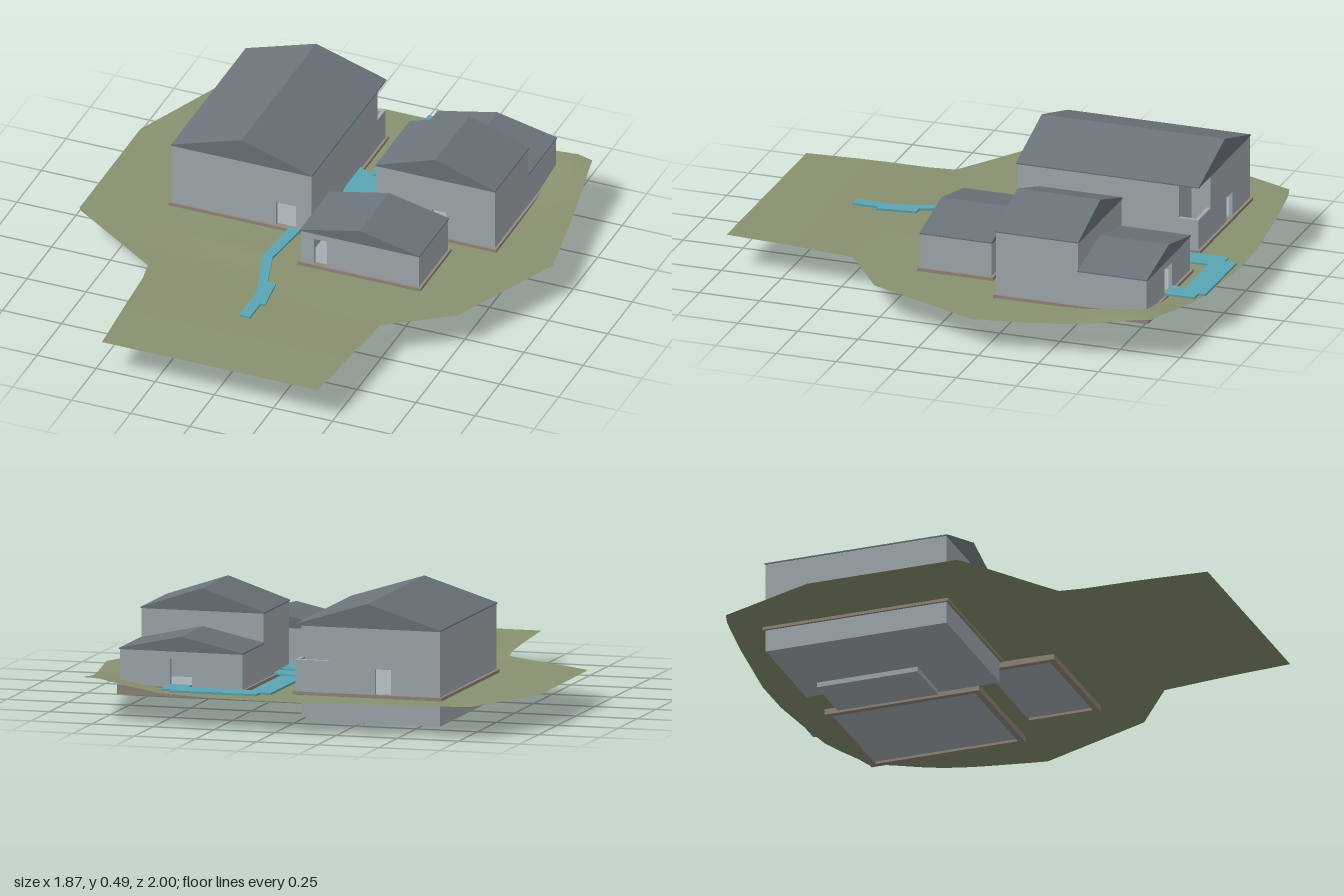
import * as THREE from 'three';

const mat = (name, color, side = THREE.FrontSide) => {
  const m = new THREE.MeshStandardMaterial({ color, side });
  m.name = name;
  return m;
};

export function createModel() {
  const model = new THREE.Group();
  model.name = 'farmstead';
  const wall = mat('wall grey', 0xa3adb2);
  const roof = mat('roof slate', 0x6b747b);
  const stone = mat('plinth brown', 0x94887f);
  const grass = mat('grass green', 0x88916f, THREE.DoubleSide);
  const water = mat('path blue', 0x5ba5b4);

  const add = (parent, name, geo, material) => {
    const m = new THREE.Mesh(geo, material);
    m.name = name;
    parent.add(m);
    return m;
  };
  // Box given by its two extreme corners
  const box = (parent, name, x0, x1, y0, y1, z0, z1, material) => {
    const m = add(parent, name, new THREE.BoxGeometry(x1 - x0, y1 - y0, z1 - z0), material);
    m.position.set((x0 + x1) / 2, (y0 + y1) / 2, (z0 + z1) / 2);
    return m;
  };
  const polygon = pts => new THREE.Shape(pts.map(p => new THREE.Vector2(p[0], p[1])));
  const rect = (x0, x1, y0, y1) => polygon([[x0, y0], [x1, y0], [x1, y1], [x0, y1]]);
  const extrude = (shape, depth) => new THREE.ExtrudeGeometry(shape, { depth, bevelEnabled: false });
  // Shape drawn in (x, -z), raised from y0 to y1
  const slab = (parent, name, shape, y0, y1, material) => {
    const g = extrude(shape, y1 - y0).rotateX(-Math.PI / 2);
    g.translate(0, y0, 0);
    return add(parent, name, g, material);
  };

  const T = 0.015, FLOOR = 0.135;

  // Wall across x with an optional doorway [x0, x1, top]
  const endWall = (parent, name, x0, x1, top, z0, door) => {
    const shape = door
      ? polygon([[x0, 0.11], [x0, top], [x1, top], [x1, 0.11], [door[1], 0.11],
        [door[1], door[2]], [door[0], door[2]], [door[0], 0.11]])
      : rect(x0, x1, 0.11, top);
    add(parent, name, extrude(shape, T).translate(0, 0, z0), wall);
  };
  // Solid gable roof with its ridge along z
  const gable = (parent, x0, x1, z0, z1, eave, ridge) => {
    const e = 0.003;
    const shape = polygon([[x0 - e, eave - 0.005], [x1 + e, eave - 0.005], [x1 + e, eave],
      [(x0 + x1) / 2, ridge], [x0 - e, eave]]);
    add(parent, 'gableRoof', extrude(shape, z1 - z0 + 2 * e).translate(0, 0, z0 - e), roof);
  };
  // Stone rim around a slightly raised floor
  const plinth = (parent, x0, x1, z0, z1, y0) => {
    const o = 0.01, i = 0.015;
    const ring = rect(x0 - o, x1 + o, -z1 - o, -z0 + o);
    ring.holes.push(rect(x0 + i, x1 - i, -z1 + i, -z0 - i));
    slab(parent, 'plinth', ring, y0, FLOOR, stone);
    box(parent, 'floor', x0 + i, x1 - i, 0.108, FLOOR - 0.002, z0 + i, z1 - i, wall);
  };
  const house = (name, x0, x1, z0, z1, eave, ridge, frontDoor, backDoor) => {
    const g = new THREE.Group();
    g.name = name;
    model.add(g);
    endWall(g, 'frontWall', x0, x1, eave, z1 - T, frontDoor);
    endWall(g, 'backWall', x0, x1, eave, z0, backDoor);
    for (const x of [x0, x1 - T]) box(g, 'sideWall', x, x + T, 0.11, eave, z0 + T, z1 - T, wall);
    gable(g, x0, x1, z0, z1, eave, ridge);
    return g;
  };

  // Small front house
  const small = house('smallHouse', 0.02, 0.52, -0.13, 0.165, 0.28, 0.335, [0.075, 0.13, 0.25]);
  plinth(small, 0.02, 0.52, -0.13, 0.165, 0.098);

  // Two-part house: tall front and low rear
  const tall = house('tallHouse', 0.185, 0.685, -0.55, -0.21, 0.4, 0.485, [0.42, 0.48, 0.25]);
  house('rearAnnex', 0.185, 0.685, -0.835, -0.55, 0.28, 0.335, null, [0.39, 0.48, 0.245]);
  plinth(tall, 0.185, 0.685, -0.835, -0.21, 0.098);

  // Large house with a cellar and a covered corner porch at the back
  const large = new THREE.Group();
  large.name = 'largeHouse';
  model.add(large);
  const [X0, X1, Z0, Z1, PX, PZ, EAVE] = [-0.61, -0.02, -0.795, -0.04, -0.16, -0.715, 0.4];
  endWall(large, 'frontWall', X0, X1, EAVE, Z1 - T, [-0.17, -0.085, 0.24]);
  endWall(large, 'backWall', X0, PX, EAVE, Z0, [-0.41, -0.345, 0.235]);
  endWall(large, 'porchBackWall', PX, X1, EAVE, PZ);
  box(large, 'leftWall', X1 - T, X1, 0.11, EAVE, PZ + T, Z1 - T, wall);
  box(large, 'rightWall', X0, X0 + T, 0.11, EAVE, Z0 + T, Z1 - T, wall);
  box(large, 'porchSideWall', PX - T, PX, 0.11, EAVE, Z0 + T, PZ + T, wall);
  box(large, 'porchParapet', PX, X1, 0.11, 0.26, Z0, Z0 + T, wall);
  box(large, 'porchParapet', X1 - T, X1, 0.11, 0.26, Z0 + T, PZ, wall);
  gable(large, X0, X1, Z0, Z1, EAVE, 0.493);
  plinth(large, X0, X1, Z0, Z1, 0.11);
  const cellar = polygon([[X0, -Z1], [X1, -Z1], [X1, -PZ], [PX, -PZ], [PX, -Z0], [X0, -Z0]]);
  slab(large, 'cellar', cellar, 0.02, 0.128, wall);
  box(large, 'cellarPit', -0.27, -0.04, 0, 0.02, -0.71, -0.29, wall);

  // Terrain: rows between a left and a right outline, raised by a height rule
  const leftEdge = [[-1, -0.1], [-0.96, -0.45], [-0.91, -0.77], [-0.5, -0.935], [0.13, -0.935],
    [0.4, -0.53], [0.5, -0.51], [1, -0.475]];
  const rightEdge = [[-1, 0.1], [-0.96, 0.48], [-0.91, 0.81], [-0.2, 0.935], [0.28, 0.73],
    [0.46, 0.48], [1, 0.44]];
  const sample = (edge, z) => {
    let i = 1;
    while (i < edge.length - 1 && edge[i][0] < z) i++;
    const [a, b] = [edge[i - 1], edge[i]];
    return THREE.MathUtils.mapLinear(z, a[0], b[0], a[1], b[1]);
  };
  const bump = (x, z, cx, cz, rx, rz) => Math.exp(-(((x - cx) / rx) ** 2) - ((z - cz) / rz) ** 2);
  const height = (x, z) => 0.122 + 0.006 * THREE.MathUtils.smoothstep(z, 0.4, 0.8)
    + 0.047 * bump(x, z, 0.78, -0.92, 0.2, 0.25)
    - 0.011 * bump(x, z, -0.3, 0.28, 0.3, 0.13)
    + 0.005 * bump(x, z, -0.28, 0.15, 0.15, 0.06);
  const cols = 48, rows = 100, pos = [], idx = [];
  for (let r = 0; r <= rows; r++) {
    const z = -1 + 2 * r / rows;
    const a = sample(leftEdge, z), b = sample(rightEdge, z);
    for (let c = 0; c <= cols; c++) {
      const x = a + (b - a) * c / cols;
      pos.push(x, height(x, z), z);
      if (r < rows && c < cols) {
        const i = r * (cols + 1) + c, j = i + cols + 1;
        idx.push(i, j, i + 1, i + 1, j, j + 1);
      }
    }
  }
  const land = new THREE.BufferGeometry();
  land.setAttribute('position', new THREE.Float32BufferAttribute(pos, 3));
  land.setIndex(idx);
  land.computeVertexNormals();
  add(model, 'terrain', land, grass);

  // Blue paths, outlines in (x, z)
  const paths = {
    frontPath: [[-0.11, -0.03], [-0.06, -0.03], [-0.085, 0.2], [-0.035, 0.37], [0, 0.37], [0.02, 0.53],
      [0, 0.53], [0, 0.635], [-0.045, 0.635], [-0.045, 0.46], [-0.125, 0.21]],
    backLoop: [[0.035, -0.51], [0.035, -0.94], [0.08, -0.94], [0.08, -0.99], [0.435, -0.99],
      [0.435, -0.96], [0.48, -0.96], [0.48, -0.835], [0.39, -0.835], [0.39, -0.89], [0.13, -0.89], [0.13, -0.51]],
    middleFork: [[-0.02, -0.54], [0.18, -0.43], [0.18, -0.36], [0.08, -0.385], [0.295, -0.13], [0.22, -0.13],
      [0.015, -0.37], [0.06, -0.13], [0.02, -0.13], [-0.02, -0.38]],
    branch: [[0.12, -0.345], [0.18, -0.32], [0.18, -0.28]],
    doorstep: [[0.36, -0.2], [0.43, -0.2], [0.41, -0.17]],
  };
  for (const [name, pts] of Object.entries(paths)) {
    slab(model, name, polygon(pts.map(([x, z]) => [x, -z])), 0.138, 0.146, water);
  }
  return model;
}
